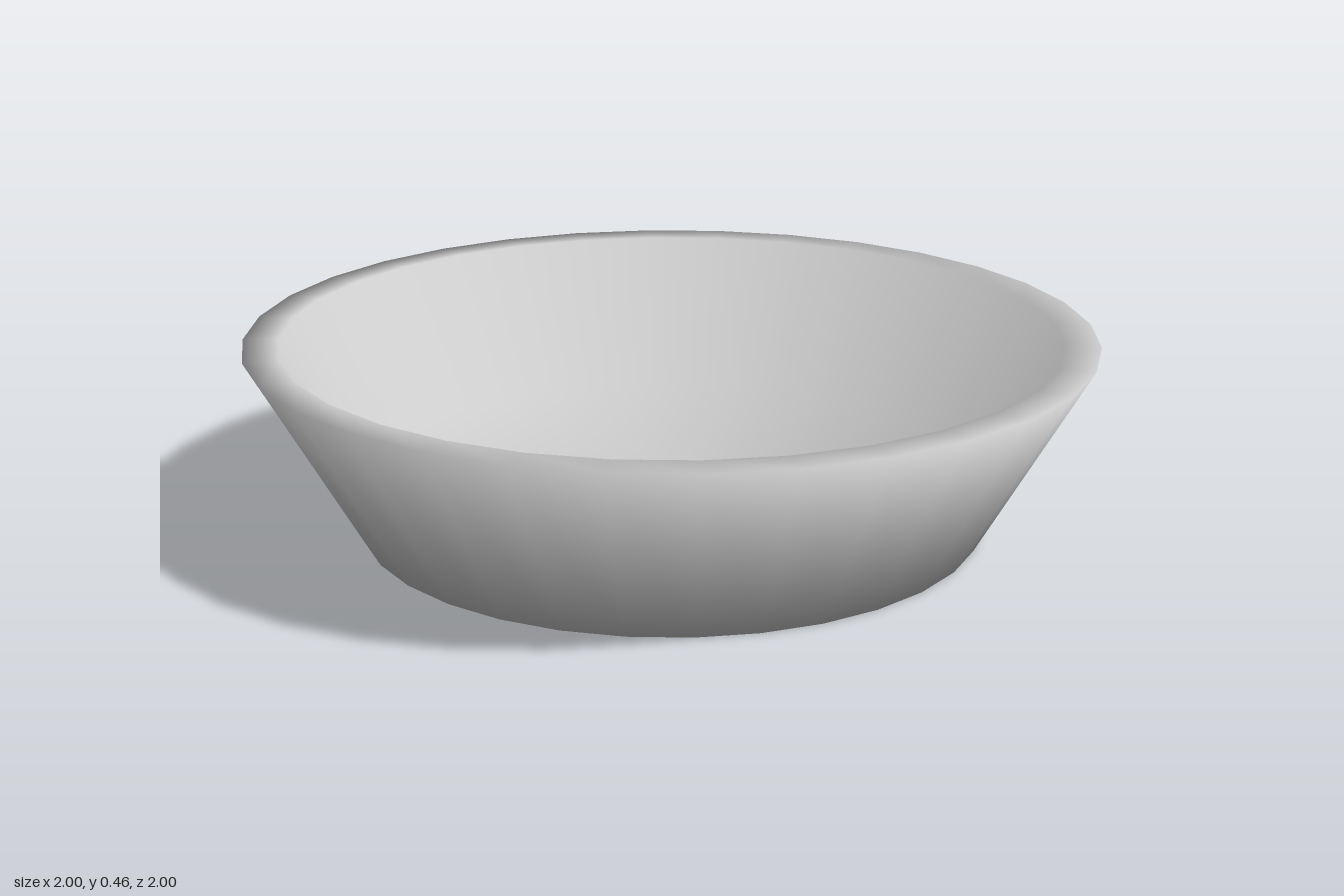
import * as THREE from 'three';

// Lathe whose normals blend the two neighbouring walls equally at each ring
function smoothLathe(points, sides) {
  const geometry = new THREE.LatheGeometry(points, sides);
  const faceNormals = points.slice(1).map((p, i) => {
    const d = p.clone().sub(points[i]).normalize();
    return new THREE.Vector2(d.y, -d.x);
  });
  const ringNormals = points.map((_, i) => {
    const before = faceNormals[Math.max(i - 1, 0)];
    const after = faceNormals[Math.min(i, faceNormals.length - 1)];
    return before.clone().add(after).normalize();
  });
  const normal = geometry.attributes.normal;
  for (let s = 0, k = 0; s <= sides; s++) {
    const a = (s / sides) * Math.PI * 2;
    for (const n of ringNormals) normal.setXYZ(k++, n.x * Math.sin(a), n.y, n.x * Math.cos(a));
  }
  return geometry;
}

export function createModel() {
  const group = new THREE.Group();
  group.name = 'dish';

  // Cross-section: underside, flared outer wall, flat rim, inner wall, floor
  const profile = [
    [0, 0], [0.74, 0], [1, 0.46], [0.917, 0.46], [0.72, 0.11], [0, 0.11],
  ].map(([r, y]) => new THREE.Vector2(r, y));

  // 32-sided bowl, smooth over every edge
  const bowl = new THREE.Mesh(
    smoothLathe(profile, 32),
    new THREE.MeshStandardMaterial({ color: 0xcccccc })
  );
  bowl.name = 'bowl';
  group.add(bowl);

  return group;
}
